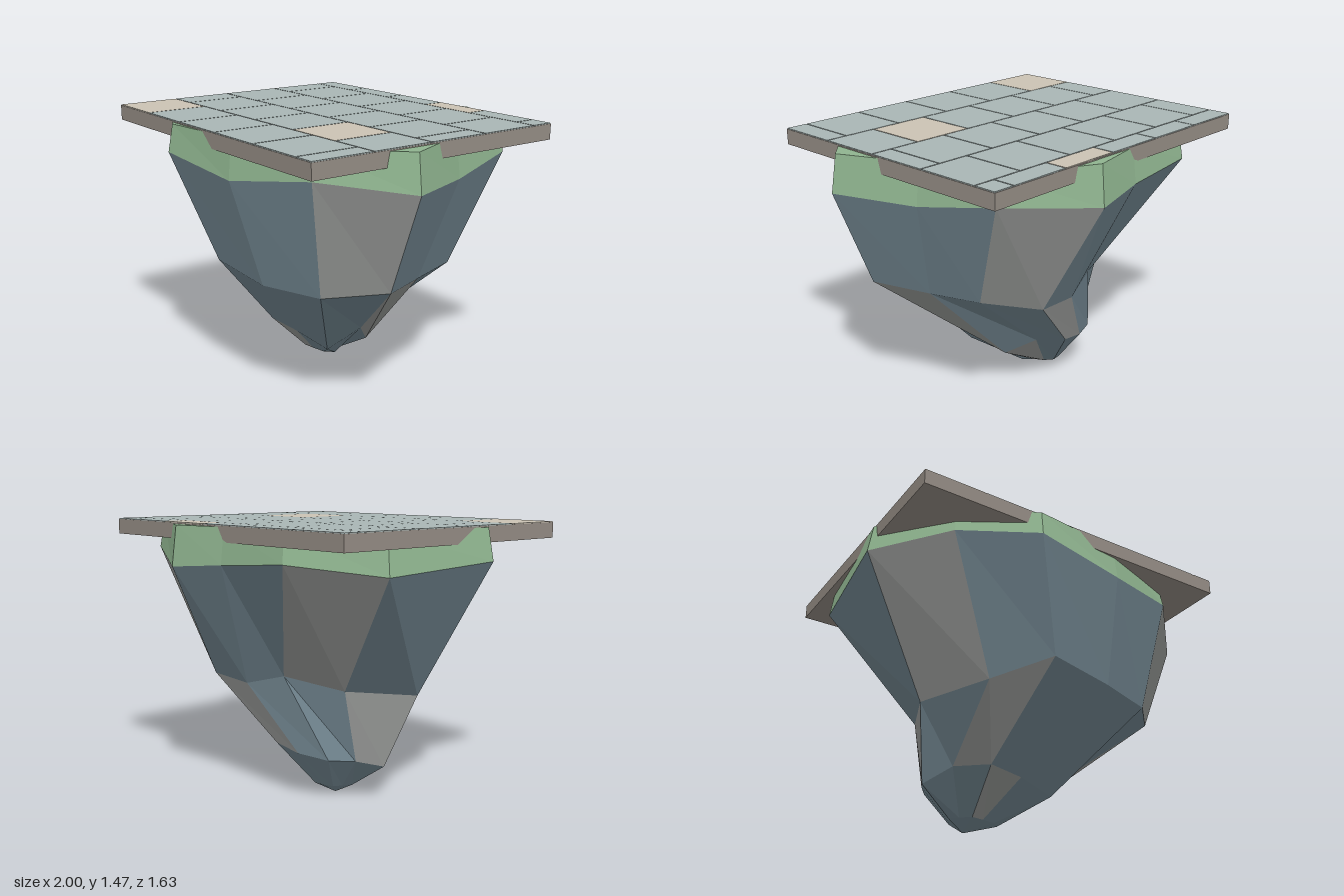
import * as THREE from 'three';

const material = (name, color) => {
  const m = new THREE.MeshStandardMaterial({ color });
  m.name = name;
  return m;
};

// Rock cross-sections, [x, y, z] per corner, all starting on the left (+x) and turning to the front
const RIM = [
  [1, 1.26, 0.24], [0.66, 1.31, 0.6], [0.2, 1.25, 0.76], [-0.31, 1.31, 0.81],
  [-0.69, 1.32, 0.58], [-1, 1.29, 0.22], [-0.93, 1.25, -0.43], [-0.54, 1.3, -0.73],
  [-0.1, 1.27, -0.755], [0.23, 1.245, -0.82], [0.71, 1.31, -0.58], [0.82, 1.245, -0.17],
];
const WAIST = [
  [0.79, 0.73, 0.23], [0.56, 0.69, 0.48], [0.23, 0.69, 0.6], [-0.13, 0.74, 0.64],
  [-0.4, 0.62, 0.45], [-0.61, 0.57, 0.12], [-0.45, 0.62, -0.25], [-0.17, 0.68, -0.42],
  [0.05, 0.62, -0.49], [0.3, 0.64, -0.51], [0.58, 0.72, -0.34], [0.66, 0.71, -0.06],
];
const FOOT = [
  [0.3, 0.34, 0.02], [0.17, 0.2, 0.15], [-0.05, 0.25, 0.2], [-0.25, 0.27, 0.23],
  [-0.4, 0.27, 0.1], [-0.51, 0.19, -0.02], [-0.44, 0.23, -0.16], [-0.36, 0.24, -0.28],
  [-0.2, 0.26, -0.35], [-0.05, 0.29, -0.37], [0.08, 0.3, -0.27], [0.17, 0.2, -0.12],
];
const TIP = [-0.22, 0, -0.1];
const HEEL = FOOT.map(([x, , z]) => [TIP[0] + (x - TIP[0]) * 0.35, 0.055, TIP[2] + (z - TIP[2]) * 0.35]);
const GRASS_TOP = RIM.map(([x, , z]) => [x * 0.97, 1.455, z * 0.97]);

// Facets of the band between two rings, for the sides listed
function band(upper, lower, sides) {
  const out = [];
  for (const i of sides) {
    const j = (i + 1) % upper.length;
    out.push(upper[j], lower[j], lower[i], upper[j], lower[i], upper[i]);
  }
  return out;
}

function facetMesh(name, corners, mat) {
  const geometry = new THREE.BufferGeometry();
  geometry.setAttribute('position', new THREE.Float32BufferAttribute(corners.flat(), 3));
  geometry.computeVertexNormals();
  const mesh = new THREE.Mesh(geometry, mat);
  mesh.name = name;
  return mesh;
}

function box(name, x0, x1, y0, y1, z0, z1, mat) {
  const mesh = new THREE.Mesh(new THREE.BoxGeometry(x1 - x0, y1 - y0, z1 - z0), mat);
  mesh.position.set((x0 + x1) / 2, (y0 + y1) / 2, (z0 + z1) / 2);
  mesh.name = name;
  return mesh;
}

export function createModel() {
  const slate = material('blue slate', 0x728690);
  const grey = material('grey rock', 0x969896);
  const grass = material('grass green', 0x8fb48f);
  const mortar = material('mortar brown', 0x948c84);
  const stone = material('paving stone', 0xa9b6b5);
  const sand = material('sand stone', 0xcbc3b4);
  const model = new THREE.Group();
  model.name = 'floatingIsland';

  // Faceted rock, with some facets in grey
  const all = RIM.map((_, i) => i);
  const split = (upper, lower, greySides) => [
    band(upper, lower, all.filter((i) => !greySides.includes(i))),
    band(upper, lower, greySides),
  ];
  const bands = [
    split(RIM, WAIST, [0, 4, 6, 9]),
    split(WAIST, FOOT, [3, 5, 8, 11]),
    split(FOOT, HEEL, [2, 10]),
  ];
  const tip = all.flatMap((i) => [HEEL[(i + 1) % 12], TIP, HEEL[i]]);
  model.add(facetMesh('slateRock', [...bands.flatMap((b) => b[0]), ...tip], slate));
  model.add(facetMesh('greyRock', bands.flatMap((b) => b[1]), grey));

  // Grass collar with a flat top
  const cap = all.flatMap((i) => [[0, 1.455, 0], GRASS_TOP[(i + 1) % 12], GRASS_TOP[i]]);
  model.add(facetMesh('grass', [...band(GRASS_TOP, RIM, all), ...cap], grass));

  // Paved slab
  const [left, right, back, front] = [-0.96, 0.88, -0.74, 0.76];
  model.add(box('slab', left, right, 1.38, 1.461, back, front, mortar));

  // Paving in running bond, trimmed at the slab edges
  const paving = new THREE.Group();
  paving.name = 'paving';
  const size = 0.344, gap = 0.003;
  const sandTiles = ['0,3', '3,4', '4,0'];
  for (let row = 0; row < 5; row++) {
    const z1 = front - (4 - row) * size;
    const z0 = Math.max(back, z1 - size);
    const start = left - (row % 2 ? size / 2 : 0);
    for (let col = 0; start + col * size < right - 0.01; col++) {
      const x0 = Math.max(left, start + col * size);
      const x1 = Math.min(right, start + (col + 1) * size);
      const mat = sandTiles.includes(`${row},${col}`) ? sand : stone;
      paving.add(box('pavingTile', x0 + gap, x1 - gap, 1.46, 1.466, z0 + gap, z1 - gap, mat));
    }
  }
  model.add(paving);
  return model;
}
